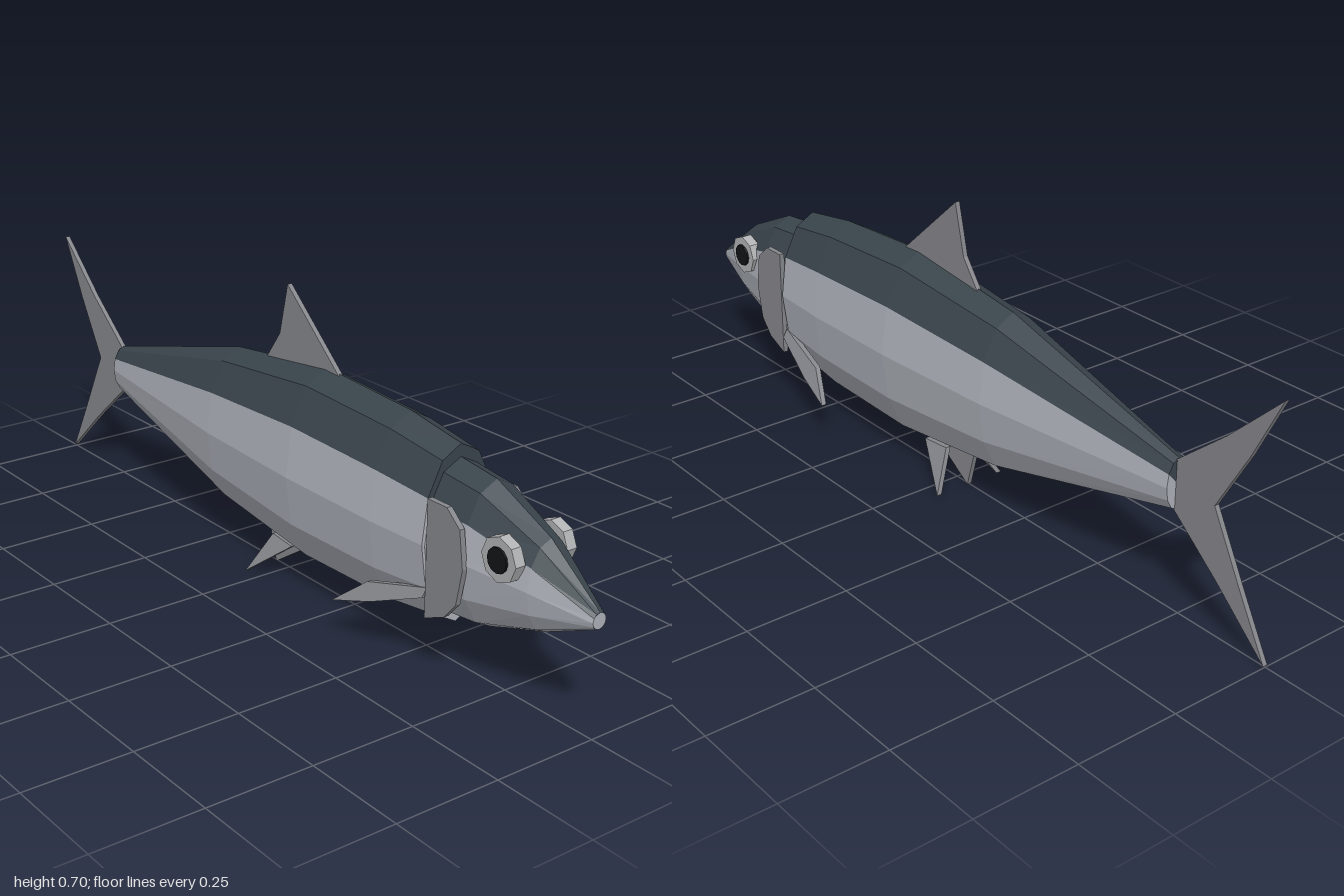
import * as THREE from 'three';

const SIDES = 12;

function material(name, color) {
  const m = new THREE.MeshStandardMaterial({ color, flatShading: true });
  m.name = name;
  return m;
}

// Lofted elliptical skin between two side indices; rings run nose to tail as [z, bottom, top, halfWidth]
function loft(rings, from, to, caps) {
  const pos = [];
  const point = (r, k) => {
    const [z, lo, hi, w] = rings[r];
    const a = (k / SIDES) * Math.PI * 2;
    return [Math.cos(a) * w, (lo + hi) / 2 + Math.sin(a) * (hi - lo) / 2, z];
  };
  const centre = (r) => [0, (rings[r][1] + rings[r][2]) / 2, rings[r][0]];
  const last = rings.length - 1;
  for (let k = from; k < to; k++) {
    for (let r = 0; r < last; r++) {
      const a = point(r, k), b = point(r + 1, k), c = point(r + 1, k + 1), d = point(r, k + 1);
      pos.push(...a, ...b, ...c, ...a, ...c, ...d);
    }
    if (caps) {
      pos.push(...centre(0), ...point(0, k), ...point(0, k + 1));
      pos.push(...centre(last), ...point(last, k + 1), ...point(last, k));
    }
  }
  const g = new THREE.BufferGeometry();
  g.setAttribute('position', new THREE.Float32BufferAttribute(pos, 3));
  g.computeVertexNormals();
  return g;
}

// Flat plate outlined in [z, y], thick along x, optionally leaning outwards as it goes down
function plate(outline, thickness, x = 0, lean = 0, pivotY = 0) {
  const shape = new THREE.Shape(outline.map(([z, y]) => new THREE.Vector2(z, y)));
  const g = new THREE.ExtrudeGeometry(shape, { depth: thickness, bevelEnabled: false });
  g.translate(0, 0, -thickness / 2);
  g.rotateY(-Math.PI / 2);
  const p = g.attributes.position;
  for (let i = 0; i < p.count; i++) p.setX(i, p.getX(i) + x + lean * (pivotY - p.getY(i)));
  g.computeVertexNormals();
  return g;
}

export function createModel() {
  const model = new THREE.Group();
  model.name = 'fish';

  const back = material('dark back', 0x39444b);
  const silver = material('silver flank', 0xacb0b8);
  const fin = material('fin grey', 0x86878c);
  const eyeRing = material('eye ring', 0xb0b2b4);
  const black = material('pupil black', 0x121416);

  const add = (name, geometry, mat) => {
    const mesh = new THREE.Mesh(geometry, mat);
    mesh.name = name;
    model.add(mesh);
    return mesh;
  };

  // Body, dark over the top four sides
  const body = [
    [0.59, 0.1, 0.505, 0.1],
    [0.43, 0.078, 0.53, 0.11],
    [0.14, 0.072, 0.545, 0.115],
    [-0.2, 0.11, 0.505, 0.096],
    [-0.73, 0.247, 0.367, 0.032],
  ];
  add('bodyBack', loft(body, 1, 5, true), back);
  add('bodyFlanks', loft(body, 5, 13, true), silver);

  // Head, tucked slightly into the body
  const head = [
    [1.0, 0.247, 0.284, 0.018],
    [0.86, 0.185, 0.39, 0.06],
    [0.7, 0.132, 0.463, 0.088],
    [0.57, 0.118, 0.478, 0.093],
  ];
  add('headTop', loft(head, 1, 5, false), back);
  add('headSides', loft(head, 5, 13, false), silver);
  const nose = new THREE.CircleGeometry(0.018, SIDES);
  nose.translate(0, 0.2655, 1.0);
  add('nose', nose, silver);

  // Fins on the centre line
  add('tailFin', plate([
    [-0.71, 0.35], [-0.86, 0.473], [-1, 0.605], [-0.925, 0.455], [-0.84, 0.307],
    [-0.925, 0.145], [-1, 0.008], [-0.86, 0.136], [-0.71, 0.262],
  ], 0.012), fin);
  add('dorsalFin', plate([[0.2, 0.53], [0, 0.706], [-0.03, 0.583], [-0.08, 0.515], [0.05, 0.5]], 0.012), fin);
  add('analFin', plate([[0.07, 0.08], [-0.046, 0.005], [-0.072, 0.1], [0, 0.12]], 0.012), fin);

  // Paired parts
  for (const s of [1, -1]) {
    const side = s > 0 ? 'left' : 'right';
    add(side + 'GillCover', plate([
      [0.6, 0.41], [0.66, 0.41], [0.7, 0.375], [0.712, 0.29], [0.695, 0.205], [0.66, 0.165], [0.6, 0.14],
    ], 0.013, s * 0.09), fin);
    add(side + 'PectoralFin', plate([
      [0.595, 0.205], [0.43, 0.163], [0.353, 0.1], [0.46, 0.132], [0.595, 0.185],
    ], 0.013, s * 0.093, s * 0.577, 0.185), fin);
    add(side + 'PelvicFin', plate([
      [0.068, 0.095], [-0.046, 0.005], [-0.01, 0.1],
    ], 0.013, s * 0.04, s * 0.577, 0.092), fin);

    // Eye: octagonal ring with a raised pupil
    const ring = add(side + 'Eye', new THREE.CylinderGeometry(0.05, 0.05, 0.026, 8), eyeRing);
    ring.position.set(s * 0.07, 0.343, 0.8);
    const pupil = add(side + 'Pupil', new THREE.CylinderGeometry(0.028, 0.028, 0.02, 12), black);
    pupil.position.set(s * 0.078, 0.343, 0.8);
    ring.rotation.z = pupil.rotation.z = -s * Math.PI / 2;
  }
  return model;
}
